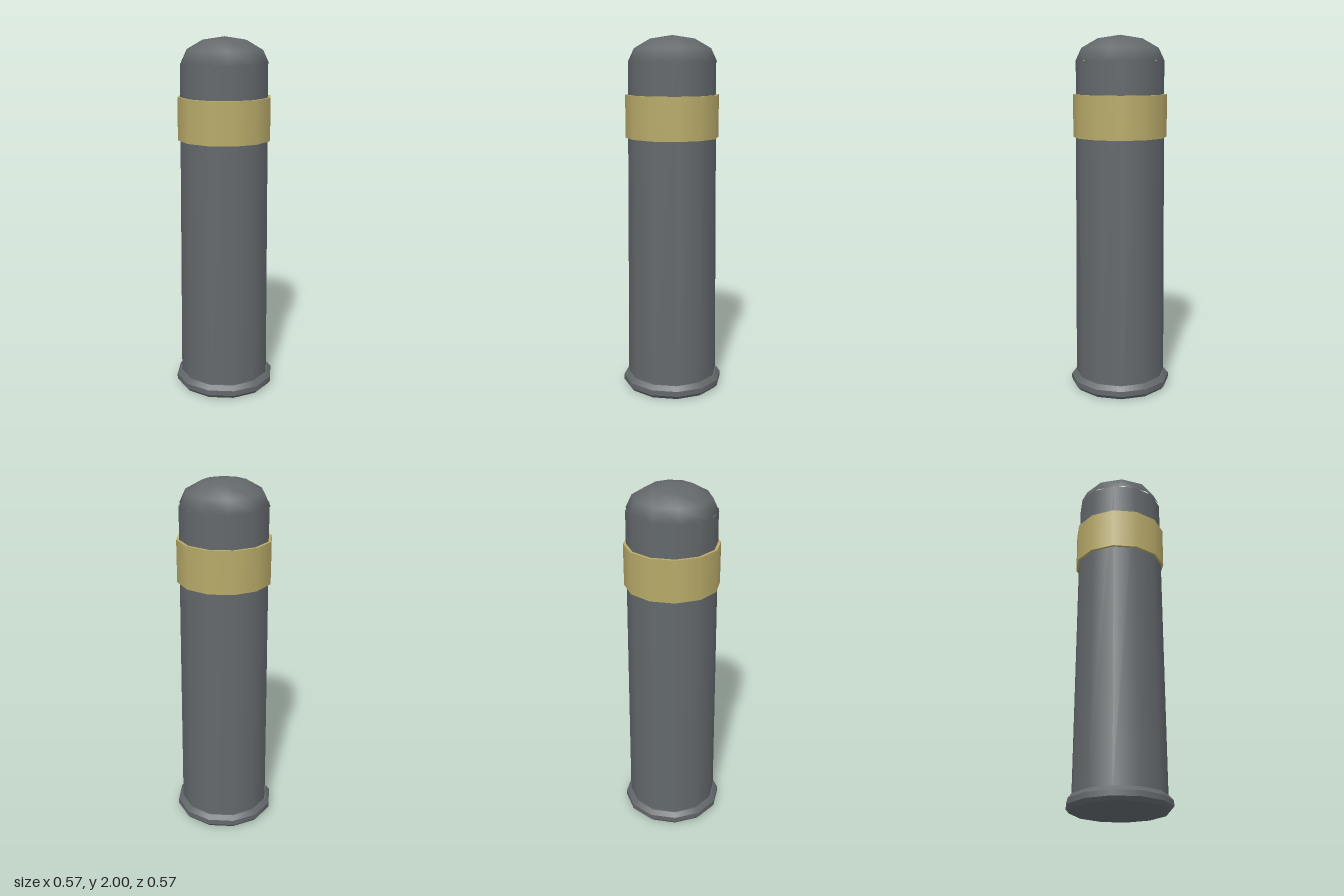
import * as THREE from 'three';

export function createModel() {
  const model = new THREE.Group();
  const iron = new THREE.MeshStandardMaterial({ color: 0x63686b });
  const yellow = new THREE.MeshStandardMaterial({ color: 0xb8aa69 });

  // Twelve-sided tapered section between two heights
  function section(name, y0, y1, r0, r1, material, parent = model, open = false) {
    const geometry = new THREE.CylinderGeometry(r1, r0, y1 - y0, 12, 1, open);
    const mesh = new THREE.Mesh(geometry, material);
    mesh.position.y = (y0 + y1) / 2;
    mesh.name = name;
    parent.add(mesh);
  }

  // Base flange with bevelled lower and upper edges
  const flange = new THREE.Group();
  flange.name = 'baseFlange';
  model.add(flange);
  section('lowerBevel', 0, 0.02, 0.265, 0.283, iron, flange);
  section('flangeRim', 0.02, 0.05, 0.283, 0.283, iron, flange, true);
  section('upperBevel', 0.05, 0.075, 0.283, 0.262, iron, flange);

  // Slightly tapered post and its coloured band
  section('post', 0.07, 1.86, 0.255, 0.243, iron);
  section('band', 1.445, 1.68, 0.26, 0.26, yellow);

  // Shallow ten-sided dome on top
  const dome = new THREE.SphereGeometry(0.245, 10, 3, 0, Math.PI * 2, 0, Math.PI / 2);
  dome.rotateY(Math.PI / 2);
  dome.scale(1, 0.14 / 0.245, 1);
  const cap = new THREE.Mesh(dome, iron);
  cap.position.y = 1.86;
  cap.name = 'domeCap';
  model.add(cap);

  return model;
}
